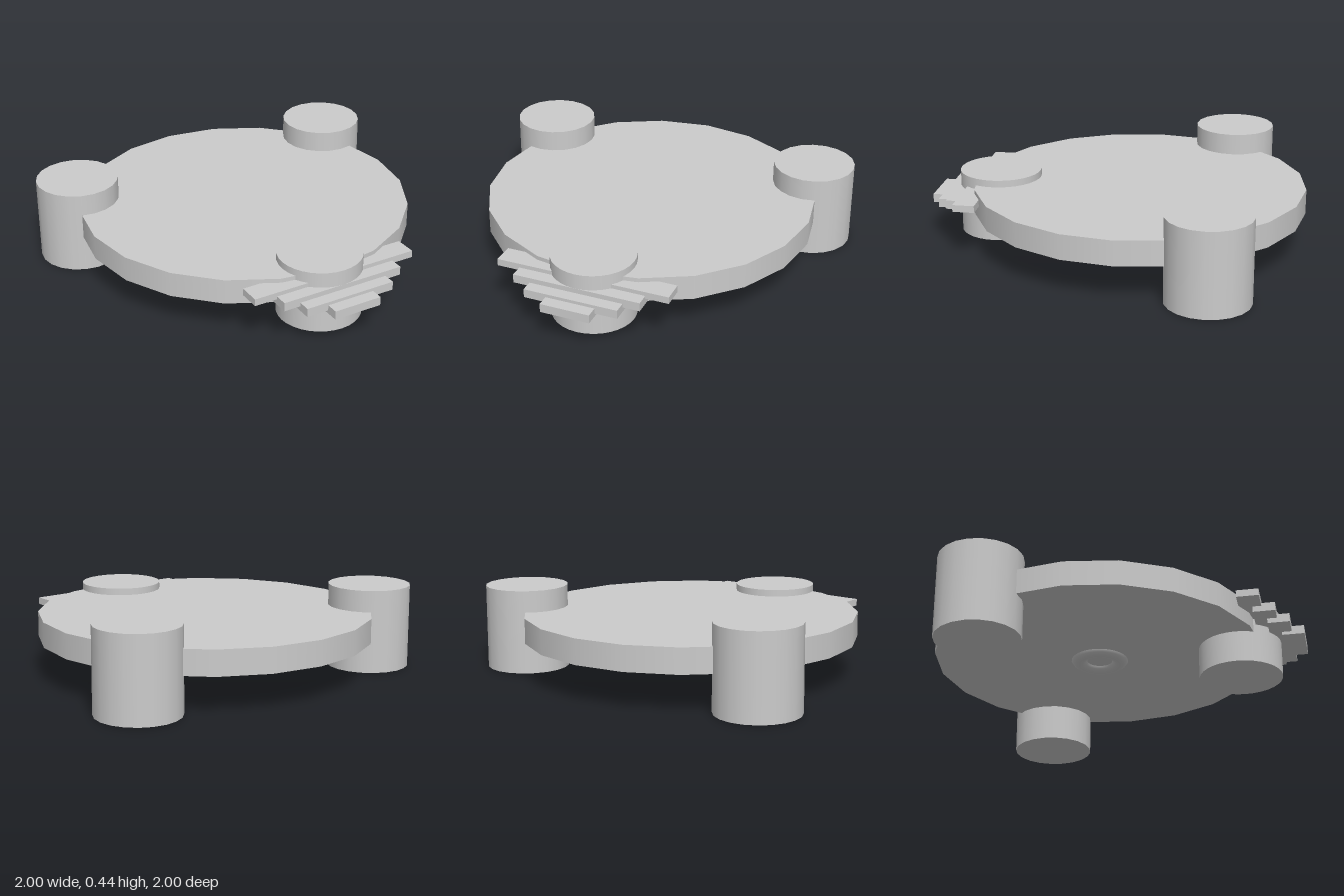
import * as THREE from 'three';

export function createModel() {
  const group = new THREE.Group();
  const material = new THREE.MeshStandardMaterial({ color: 0xcccccc });

  const add = (name, geometry, x, y, z) => {
    const mesh = new THREE.Mesh(geometry, material);
    mesh.name = name;
    mesh.position.set(x, y, z);
    group.add(mesh);
    return mesh;
  };

  // Upright cylinder standing between two heights
  const drum = (name, radius, bottom, top, x, z, sides) =>
    add(name, new THREE.CylinderGeometry(radius, radius, top - bottom, sides), x, (bottom + top) / 2, z);

  // Twenty-sided main disc
  drum('plate', 0.887, 0.197, 0.33, 0, -0.113, 20);

  // Two tall rear drums and the shorter front one
  for (const side of [-1, 1]) {
    drum(side > 0 ? 'leftRearDrum' : 'rightRearDrum', 0.22, 0, 0.445, side * 0.78, -0.56, 20);
  }
  drum('frontDrum', 0.22, 0.03, 0.367, 0, 0.65, 32);

  // Staircase at the front: [width, height, centre y, front z], lowest first
  const steps = [
    [0.262, 0.046, 0.22, 1.0],
    [0.5, 0.046, 0.237, 0.935],
    [0.68, 0.046, 0.263, 0.87],
    [0.925, 0.037, 0.289, 0.8],
  ];
  const depth = 0.115;
  steps.forEach(([width, height, y, front], i) =>
    add(`step${i + 1}`, new THREE.BoxGeometry(width, height, depth), 0, y, front - depth / 2));

  // Ring half sunk into the underside
  add('undersideRing', new THREE.TorusGeometry(0.11, 0.048, 16, 40), 0, 0.218, -0.113).rotation.x = Math.PI / 2;

  return group;
}
